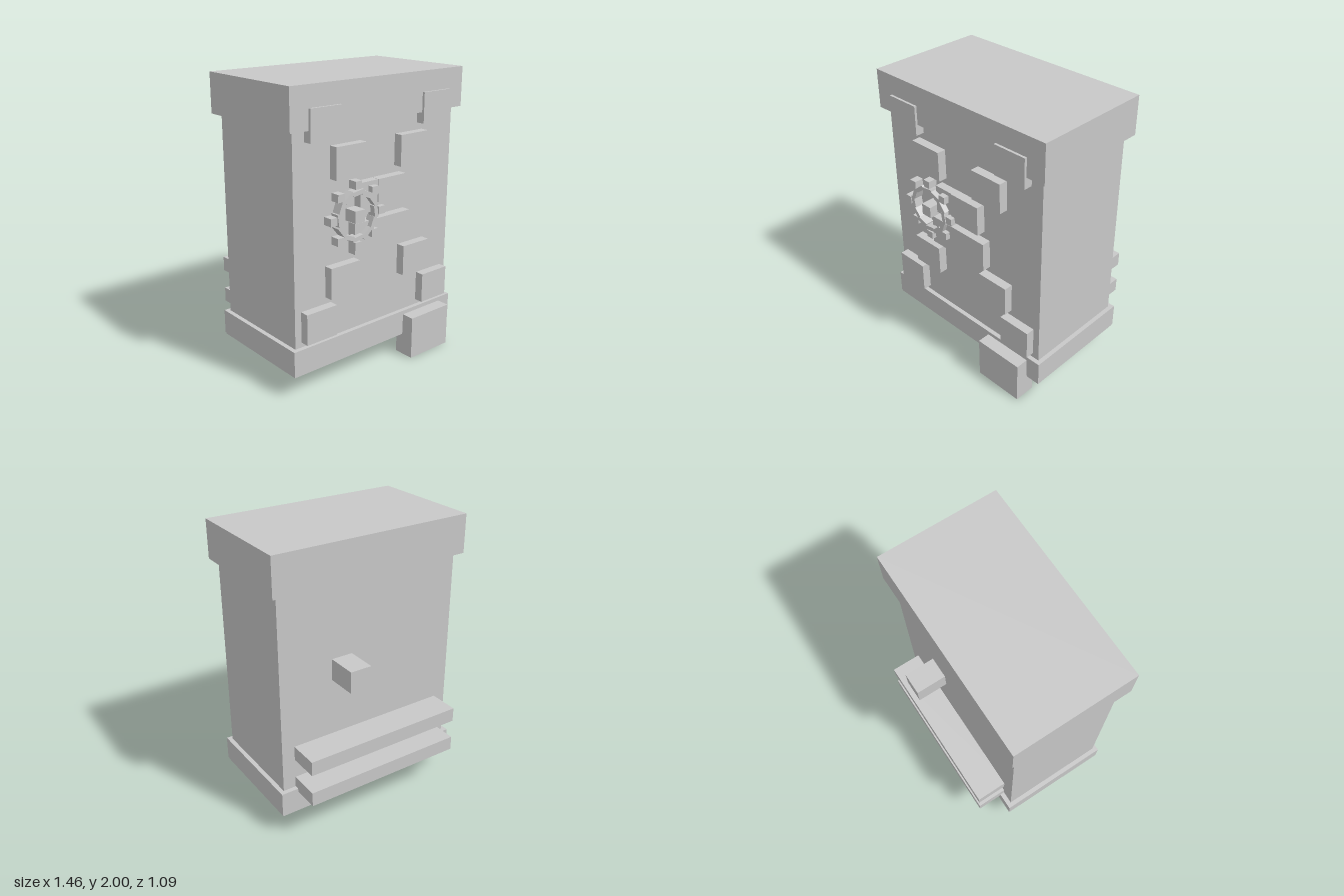
import * as THREE from 'three';

export function createModel() {
  const model = new THREE.Group();
  model.name = 'cabinet';
  const grey = new THREE.MeshStandardMaterial({ color: 0xc8c8c8 });
  grey.name = 'lightGrey';

  // Box given by its limits on each axis
  function box(name, [x0, x1], [y0, y1], [z0, z1], parent = model) {
    const mesh = new THREE.Mesh(new THREE.BoxGeometry(x1 - x0, y1 - y0, z1 - z0), grey);
    mesh.position.set((x0 + x1) / 2, (y0 + y1) / 2, (z0 + z1) / 2);
    mesh.name = name;
    parent.add(mesh);
    return mesh;
  }

  // Main case, cap, plinth with a fine lower lip, and the single front foot
  box('body', [-0.682, 0.682], [0.3, 1.76], [-0.4, 0.355]);
  box('cap', [-0.728, 0.728], [1.73, 2], [-0.447, 0.4]);
  box('base', [-0.713, 0.713], [0.163, 0.333], [-0.432, 0.386]);
  box('baseLip', [-0.709, 0.709], [0.151, 0.17], [-0.428, 0.382]);
  box('foot', [0.243, 0.606], [0, 0.305], [0.327, 0.477]);

  // Rear rails and knob
  for (const y of [0.307, 0.547]) box('rearRail', [-0.59, 0.59], [y, y + 0.103], [-0.615, -0.38]);
  box('rearKnob', [0.14, 0.294], [1.056, 1.207], [-0.615, -0.38]);

  // Front panels: mirrored pairs, [inner x, outer x, bottom y, top y]
  const pairs = [
    [0.35, 0.592, 1.656, 1.862],
    [0.15, 0.395, 1.398, 1.608],
    [0.197, 0.437, 0.625, 0.836],
    [0.393, 0.633, 0.368, 0.578],
  ];
  for (const [a, b, y0, y1] of pairs) {
    box('panelLeft', [a, b], [y0, y1], [0.34, 0.417]);
    box('panelRight', [-b, -a], [y0, y1], [0.34, 0.417]);
  }
  // Overlapping middle panels
  box('upperCrossPanelRight', [-0.195, 0.05], [1.143, 1.349], [0.34, 0.412]);
  box('upperCrossPanelLeft', [-0.047, 0.195], [1.141, 1.35], [0.34, 0.418]);
  box('lowerCrossPanel', [-0.243, 0.24], [0.882, 1.09], [0.34, 0.417]);

  // Dial: ring of short, slightly skewed bars, eight studs and a hub
  const dial = new THREE.Group();
  dial.name = 'dial';
  dial.position.set(-0.243, 1.153, 0.418);
  model.add(dial);
  box('hub', [-0.04, 0.04], [-0.04, 0.04], [-0.048, 0.048], dial);
  for (let i = 0; i < 12; i++) {
    const a = (i / 12) * Math.PI * 2;
    const bar = box('ringBar', [-0.0145, 0.0145], [-0.042, 0.042], [-0.032, 0.032], dial);
    bar.position.set(Math.cos(a) * 0.15, Math.sin(a) * 0.15, 0);
    bar.rotation.z = a + 0.15;
  }
  for (let i = 0; i < 8; i++) {
    const a = (i / 8) * Math.PI * 2;
    const stud = box('stud', [-0.026, 0.026], [-0.026, 0.026], [-0.032, 0.032], dial);
    stud.position.set(Math.cos(a) * 0.2, Math.sin(a) * 0.2, 0);
  }
  return model;
}
